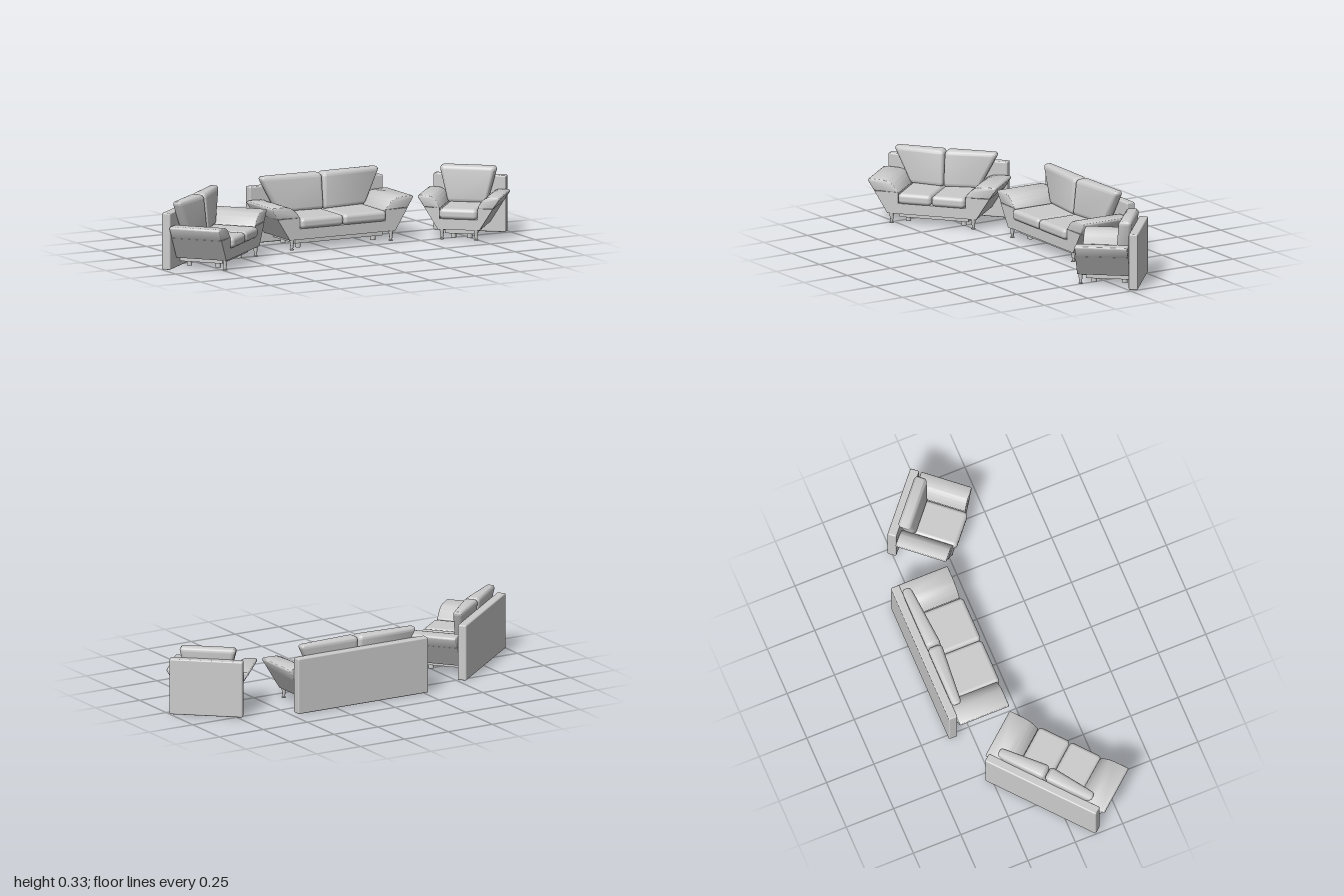
import * as THREE from 'three';
import { RoundedBoxGeometry } from 'three/addons/geometries/RoundedBoxGeometry.js';
import { mergeVertices, toCreasedNormals } from 'three/addons/utils/BufferGeometryUtils.js';

const material = new THREE.MeshStandardMaterial({ color: 0xcccccc });

function add(group, name, geometry, x = 0, y = 0, z = 0) {
  const mesh = new THREE.Mesh(geometry, material);
  mesh.name = name;
  mesh.position.set(x, y, z);
  group.add(mesh);
  return mesh;
}

const soft = (w, h, d, r) => new RoundedBoxGeometry(w, h, d, 4, r);

// Outline in x/y pulled back from z = 0 to z = -depth, with optional rounded edges
function slab(shape, depth, bevel = 0) {
  const geometry = new THREE.ExtrudeGeometry(shape, {
    depth: depth - 2 * bevel, bevelEnabled: bevel > 0, bevelSize: bevel,
    bevelThickness: bevel, bevelOffset: -bevel, bevelSegments: 4, curveSegments: 10,
  });
  geometry.translate(0, 0, bevel - depth);
  return toCreasedNormals(geometry, 0.6);
}

// Back cushion flaring out towards the top, thinner at its outer end, leaning back
function backCushion(x0, x1, topHalf, bottomHalf, thin) {
  const h = 0.182, d = 0.075;
  let geometry = soft(x1 - x0, h, d, 0.022);
  geometry.translate((x0 + x1) / 2, 0, 0);
  const p = geometry.attributes.position;
  for (let i = 0; i < p.count; i++) {
    const t = p.getY(i) / h + 0.5;
    const out = Math.abs(p.getX(i)) / topHalf;
    let z = p.getZ(i);
    z -= (z + d / 2) * thin * out;
    p.setX(i, p.getX(i) * THREE.MathUtils.lerp(bottomHalf / topHalf, 1, t));
    p.setZ(i, z - 0.018 * t);
  }
  geometry.deleteAttribute('normal');
  geometry.deleteAttribute('uv');
  geometry = mergeVertices(geometry, 1e-5);
  return toCreasedNormals(geometry, 0.9);
}

// One seat unit; its origin is on the floor at the middle of the arm fronts
function createSeatUnit(name, half, armWidth, cushions) {
  const unit = new THREE.Group();
  unit.name = name;
  const seatHalf = half - armWidth;
  const depth = 0.26;

  // Upright back panel
  add(unit, 'backPanel', soft(2 * half - 0.045, 0.28, 0.045, 0.007), 0, 0.14, -0.286);

  // Tapered body with a notch for the seat
  const body = new THREE.Shape([
    [-half + 0.1, 0.05], [half - 0.1, 0.05], [half - 0.033, 0.157], [seatHalf, 0.157],
    [seatHalf, 0.103], [-seatHalf, 0.103], [-seatHalf, 0.157], [-half + 0.033, 0.157],
  ].map(([x, y]) => new THREE.Vector2(x, y)));
  add(unit, 'body', slab(body, depth));

  // Arm pads, flat on top and curving down to the seat
  for (const s of [1, -1]) {
    const pad = new THREE.Shape();
    pad.moveTo(s * (half - 0.031), 0.158);
    pad.lineTo(s * half, 0.205);
    pad.quadraticCurveTo(s * (half + 0.001), 0.216, s * (half - 0.012), 0.217);
    pad.lineTo(s * (half - armWidth * 0.5), 0.215);
    pad.quadraticCurveTo(s * (seatHalf + armWidth * 0.17), 0.21, s * (seatHalf - 0.002), 0.155);
    pad.closePath();
    add(unit, s > 0 ? 'leftArmPad' : 'rightArmPad', slab(pad, depth, 0.006));
  }

  // Seat and back cushions
  const seatWidth = (2 * seatHalf) / cushions;
  for (let i = 0; i < cushions; i++) {
    const x = -seatHalf + seatWidth * (i + 0.5);
    add(unit, 'seatCushion', soft(seatWidth - 0.001, 0.054, 0.265, 0.02), x, 0.129, -0.116);
  }
  const topHalf = half - 0.06;
  const spans = cushions === 2 ? [[-topHalf, -0.001], [0.001, topHalf]] : [[-topHalf, topHalf]];
  for (const [a, b] of spans) {
    const thin = cushions === 2 ? 0.35 : 0.15;
    add(unit, 'backCushion', backCushion(a, b, topHalf, seatHalf, thin), 0, 0.24, -0.217);
  }

  // Plinth under the body with short round feet
  const plinthHalf = Math.max(half - 0.15, 0.075);
  add(unit, 'plinth', new THREE.BoxGeometry(2 * plinthHalf, 0.026, 0.22), 0, 0.038, -0.15);
  for (const s of [1, -1]) {
    for (const z of [-0.075, -0.225]) {
      add(unit, 'plinthFoot', new THREE.CylinderGeometry(0.013, 0.013, 0.026, 20),
        s * (plinthHalf - 0.035), 0.013, z);
    }
    // Tapered front leg with a disc foot
    const leg = [[0, 0], [0.011, 0], [0.011, 0.003], [0.006, 0.005], [0.012, 0.052], [0, 0.052]];
    const profile = leg.map(([r, y]) => new THREE.Vector2(r, y));
    add(unit, 'frontLeg', toCreasedNormals(new THREE.LatheGeometry(profile, 20), 0.6),
      s * (half - 0.118), 0, -0.014);
  }
  return unit;
}

export function createModel() {
  const model = new THREE.Group();
  model.name = 'sofaSet';
  const place = (unit, x, z, degrees) => {
    unit.position.set(x, 0, z);
    unit.rotation.y = THREE.MathUtils.degToRad(degrees);
    model.add(unit);
  };
  place(createSeatUnit('largeSofa', 0.393, 0.155, 2), 0.097, -0.055, 0);
  place(createSeatUnit('smallSofa', 0.326, 0.155, 2), -0.569, 0.147, 40.2);
  place(createSeatUnit('armchair', 0.203, 0.108, 1), 0.666, 0.08, -40.8);
  return model;
}
